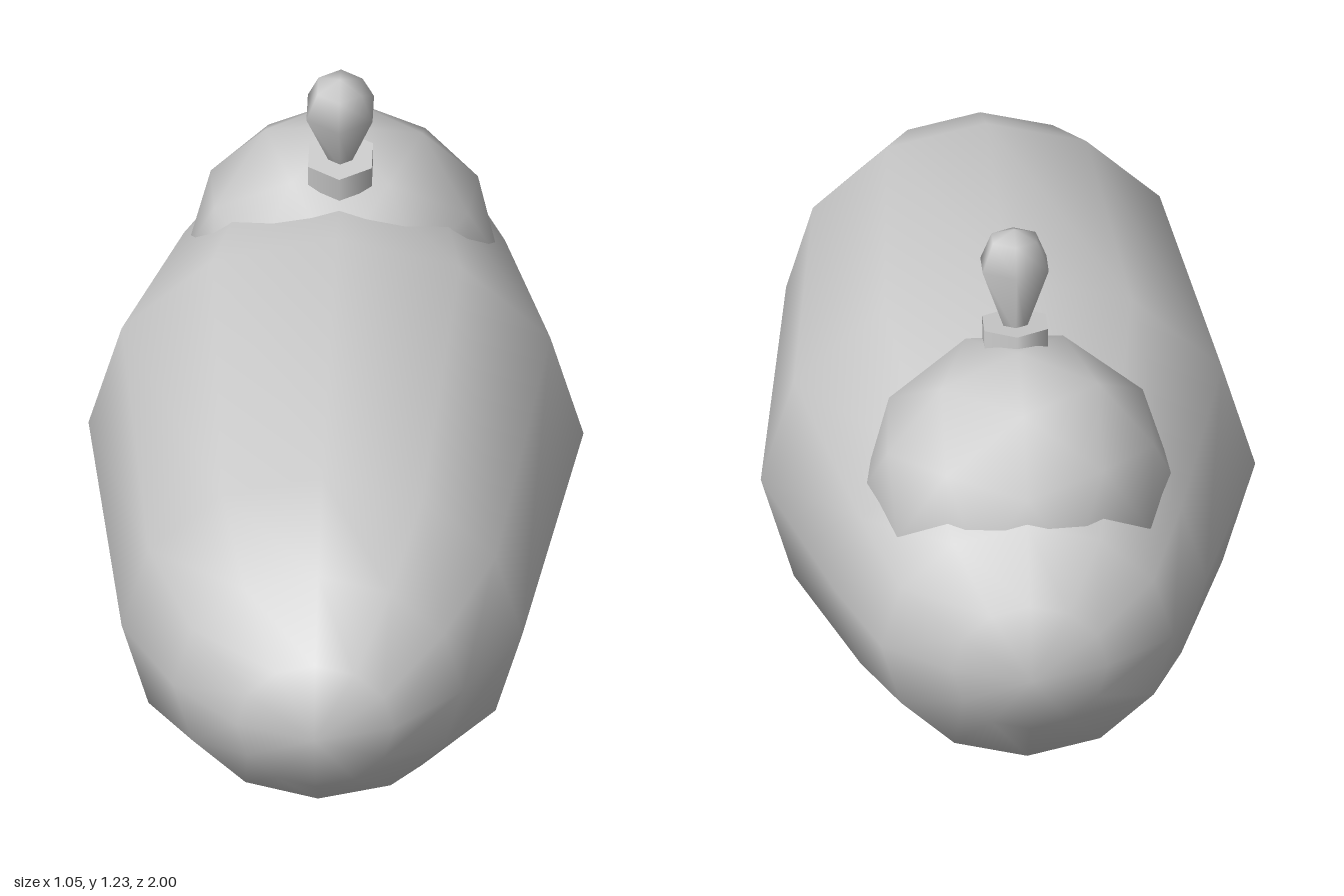
import * as THREE from 'three';
import { mergeVertices } from 'three/addons/utils/BufferGeometryUtils.js';

const material = new THREE.MeshStandardMaterial({ color: 0xcccccc });

// Turned solid with smooth shading across the seam and poles
function smoothLathe(profile, sides) {
  const lathe = new THREE.LatheGeometry(profile.map(([r, y]) => new THREE.Vector2(r, y)), sides);
  lathe.deleteAttribute('uv');
  lathe.deleteAttribute('normal');
  const geometry = mergeVertices(lathe, 1e-4);
  geometry.computeVertexNormals();
  return geometry;
}

function part(name, geometry, parent) {
  const mesh = new THREE.Mesh(geometry, material);
  mesh.name = name;
  parent.add(mesh);
  return mesh;
}

export function createModel() {
  const model = new THREE.Group();

  // Long rounded body, widest behind the middle: [radius, z]
  const body = smoothLathe([
    [0, -1], [0.165, -0.945], [0.31, -0.84], [0.393, -0.62], [0.525, -0.17],
    [0.425, 0.585], [0.308, 0.8], [0.167, 0.945], [0, 1],
  ], 12);
  body.rotateX(Math.PI / 2);
  body.scale(1, 0.9286, 1);
  part('body', body, model).position.y = 0.4875;

  // Faceted dome sunk into the rear, turned to stand on a corner
  const dome = part('dome', new THREE.IcosahedronGeometry(0.333, 1), model);
  dome.rotation.x = THREE.MathUtils.degToRad(-121.7);
  dome.position.set(0, 0.682, -0.53);

  // Collar and knob lean slightly forward together
  const knobGroup = new THREE.Group();
  knobGroup.name = 'topKnob';
  knobGroup.position.set(0, 0.96, -0.425);
  knobGroup.rotation.x = 0.14;
  model.add(knobGroup);

  part('collar', new THREE.CylinderGeometry(0.078, 0.078, 0.06, 6), knobGroup).position.y = 0.03;
  part('knob', smoothLathe([
    [0, 0.045], [0.024, 0.045], [0.081, 0.195], [0.054, 0.257], [0, 0.277],
  ], 6), knobGroup);

  return model;
}
